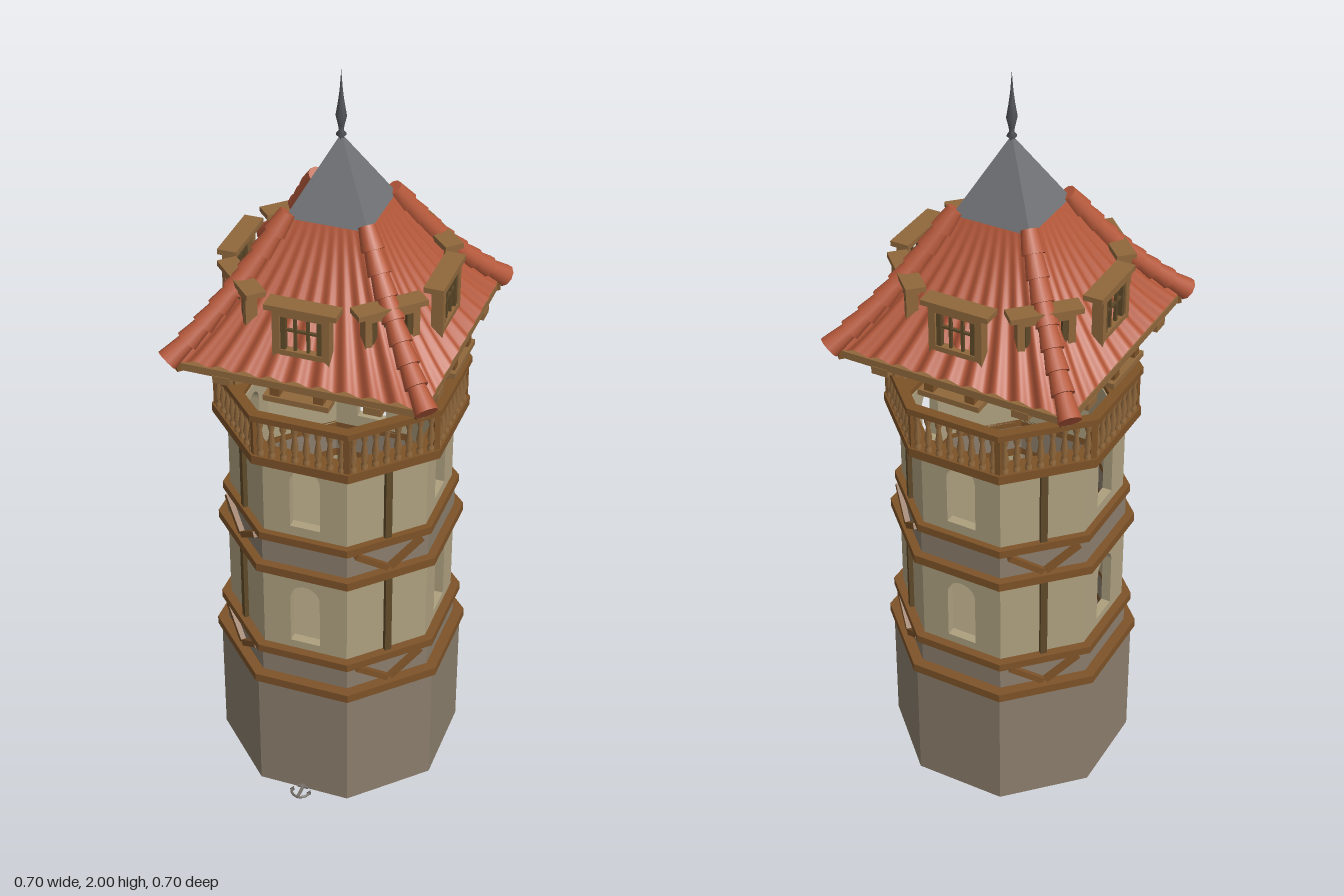
import * as THREE from 'three';
import { ParametricGeometry } from 'three/addons/geometries/ParametricGeometry.js';

const paint = (name, color, side = THREE.FrontSide) => {
  const m = new THREE.MeshStandardMaterial({ color, side });
  m.name = name;
  return m;
};

export function createModel() {
  const model = new THREE.Group();
  model.name = 'tower';
  const tower = new THREE.Group();
  tower.name = 'towerBody';
  tower.position.z = -0.012;
  model.add(tower);

  const stone = paint('stone', 0x8a7d6b);
  const plaster = paint('plaster', 0xada07f);
  const wood = paint('beamWood', 0x7d5228);
  const paleWood = paint('paleWood', 0x90683c);
  const darkWood = paint('darkWood', 0x5f4a2a);
  const tile = paint('roofTile', 0xb5583a, THREE.DoubleSide);
  const lead = paint('lead', 0x707276);
  const iron = paint('iron', 0x505359);
  const anchorMetal = paint('anchorMetal', 0x77716a);

  const V2 = (x, y) => new THREE.Vector2(x, y);
  const COS = Math.cos(Math.PI / 8), TAN = Math.tan(Math.PI / 8);

  const add = (parent, name, geo, mat, x = 0, y = 0, z = 0) => {
    const m = new THREE.Mesh(geo, mat);
    m.name = name;
    m.position.set(x, y, z);
    parent.add(m);
    return m;
  };
  const box = (parent, name, w, h, d, mat, x, y, z) =>
    add(parent, name, new THREE.BoxGeometry(w, h, d), mat, x, y, z);
  const flat = (geo) => {
    const g = geo.toNonIndexed();
    g.computeVertexNormals();
    return g;
  };
  // Group turned to face k of the octagon, with +z pointing outwards
  const face = (name, k) => {
    const g = new THREE.Group();
    g.name = name;
    g.rotation.y = k * Math.PI / 4;
    tower.add(g);
    return g;
  };
  // Eight-sided solid from [apothem, y] pairs
  const octagon = (name, pts, mat) => add(tower, name, flat(new THREE.LatheGeometry(
    pts.map(([a, y]) => V2(a / COS, y)), 8, Math.PI / 8)), mat);
  const ring = (name, inner, outer, y0, y1, mat) => octagon(name,
    [[inner, y0], [outer, y0], [outer, y1], [inner, y1], [inner, y0]], mat);

  // Stone base with a plastered inside
  octagon('base', [[0.275, 0], [0.3, 0], [0.3, 0.37]], stone);
  octagon('baseLining', [[0.255, 0.38], [0.275, 0]], plaster);

  // Two storeys: braced band between two beams, then a wall with arched windows
  const wallPanel = (a, h, sill, top) => {
    const w = a * TAN, r = 0.04;
    const s = new THREE.Shape([V2(-w, 0), V2(w, 0), V2(w, h), V2(-w, h)]);
    if (top) {
      const hole = new THREE.Path();
      hole.moveTo(-r, sill);
      hole.lineTo(-r, top - r);
      hole.absarc(0, top - r, r, Math.PI, 0, true);
      hole.lineTo(r, sill);
      hole.closePath();
      s.holes.push(hole);
    }
    const g = new THREE.ExtrudeGeometry(s, { depth: 0.025, bevelEnabled: false, curveSegments: 10 });
    return g.translate(0, 0, a - 0.025);
  };
  const storeys = [
    { y: 0.36, a: 0.274, beam: 0.31, end: 0.73, sill: 0.5, top: 0.685 },
    { y: 0.725, a: 0.267, beam: 0.297, end: 1.075, sill: 0.87, top: 1.05 },
  ];
  for (const { y, a, beam, end, sill, top } of storeys) {
    const bandTop = y + 0.095, wallY = y + 0.11;
    ring('lowerBeam', a - 0.025, beam, y, y + 0.024, wood);
    ring('bandWall', a - 0.025, a + 0.008, y + 0.02, bandTop, stone);
    ring('upperBeam', a - 0.025, beam - 0.013, bandTop, bandTop + 0.022, wood);
    const blank = wallPanel(a, end - wallY);
    const pierced = wallPanel(a, end - wallY, sill - wallY, top - wallY);
    for (let k = 0; k < 8; k++) {
      const side = face('wallSide', k);
      add(side, 'wall', k % 2 ? blank : pierced, plaster, 0, wallY, 0);
      if (k % 2 === 0) continue;
      box(side, 'wallPost', 0.018, end - wallY, 0.016, darkWood, 0, (wallY + end) / 2, a + 0.004);
      // V-shaped braces
      for (const s of [-1, 1]) {
        box(side, 'brace', 0.108, 0.016, 0.018, wood, s * 0.048, y + 0.06, a + 0.013)
          .rotation.z = s * 0.62;
      }
    }
  }

  // Balcony: ledge, turned balusters and handrail
  ring('balconyLedge', 0.245, 0.302, 1.065, 1.09, wood);
  ring('handrail', 0.277, 0.304, 1.193, 1.21, wood);
  const baluster = new THREE.LatheGeometry([[0.009, 0], [0.009, 0.012], [0.005, 0.018], [0.01, 0.04],
    [0.005, 0.075], [0.009, 0.09], [0.009, 0.105]].map(([r, y]) => V2(r, y)), 8);
  for (let k = 0; k < 8; k++) {
    const side = face('balustrade', k);
    for (let i = 0; i < 8; i++) add(side, 'baluster', baluster, paleWood, (i - 3.5) * 0.03, 1.089, 0.29);
    box(side, 'cornerPost', 0.016, 0.105, 0.016, wood, 0.119, 1.14, 0.288);
  }

  // Timber frame below the eaves
  ring('eavesRing', 0.25, 0.285, 1.288, 1.315, wood);
  for (let k = 0; k < 8; k++) {
    const side = face('eavesSupport', k);
    box(side, 'lintel', 0.165, 0.015, 0.045, paleWood, 0, 1.283, 0.298);
    for (const s of [-1, 1]) box(side, 'bracket', 0.025, 0.022, 0.1, wood, s * 0.055, 1.3, 0.265);
    if (k % 2) {
      box(side, 'hipRafter', 0.03, 0.022, 0.18, wood, 0, 1.318, 0.35);
      continue;
    }
    box(side, 'fascia', 0.63, 0.02, 0.03, paleWood, 0, 1.32, 0.3);
    for (const s of [-1, 1]) box(side, 'rafterEnd', 0.045, 0.02, 0.15, paleWood, s * 0.19, 1.303, 0.242);
  }

  // Four flared roof slopes with rippling tiles
  const slope = new THREE.QuadraticBezierCurve(V2(0.318, 1.34), V2(0.195, 1.465), V2(0.098, 1.66));
  const roofSide = new ParametricGeometry((u, v, target) => {
    const p = slope.getPoint(v), t = u * 2 - 1;
    const ripple = Math.cos(t * 10 * Math.PI) * 0.008 * (1 - v);
    target.set(t * p.x, p.y + ripple, p.x + ripple * 0.6);
  }, 80, 10);
  for (let k = 0; k < 8; k += 2) add(face('roofSlope', k), 'roofTiles', roofSide, tile);

  // Overlapping ridge tiles along the hips
  const tiles = 8, up = new THREE.Vector3(0, 1, 0);
  for (let k = 0; k < 8; k += 2) {
    const hip = face('hip', k);
    for (let i = 0; i < tiles; i++) {
      const at = (t) => {
        const p = slope.getPoint(t);
        return new THREE.Vector3(p.x, p.y + 0.004, p.x);
      };
      const a = at(i / tiles), b = at(Math.min(1, (i + 1.15) / tiles));
      const dir = b.clone().sub(a);
      if (i === 0) a.addScaledVector(dir, -0.2);
      const m = add(hip, 'ridgeTile', new THREE.CylinderGeometry(0.021, 0.029, a.distanceTo(b), 10), tile);
      m.position.copy(a).add(b).multiplyScalar(0.5);
      m.quaternion.setFromUnitVectors(up, dir.normalize());
    }
  }

  // Eight flat-topped dormers
  for (let k = 0; k < 8; k++) {
    const d = face('dormer', k);
    box(d, 'dormerTop', 0.18, 0.014, 0.05, paleWood, 0, 1.514, 0.262);
    box(d, 'dormerSill', 0.13, 0.014, 0.02, paleWood, 0, 1.395, 0.272);
    box(d, 'dormerHead', 0.13, 0.014, 0.02, paleWood, 0, 1.5, 0.272);
    box(d, 'windowRail', 0.12, 0.006, 0.008, darkWood, 0, 1.455, 0.272);
    for (const s of [-1, 1]) {
      box(d, 'dormerPost', 0.018, 0.14, 0.03, paleWood, s * 0.062, 1.44, 0.267);
      box(d, 'windowStile', 0.012, 0.11, 0.014, darkWood, s * 0.045, 1.445, 0.272);
      box(d, 'windowBar', 0.007, 0.105, 0.008, darkWood, s * 0.016, 1.447, 0.272);
    }
  }

  // Lead cap and iron finial
  const cap = new THREE.CylinderGeometry(0.003, 0.104 * Math.SQRT2, 0.185, 4, 1);
  add(tower, 'leadCap', flat(cap.rotateY(Math.PI / 4)), lead, 0, 1.7425, 0);
  add(tower, 'finial', new THREE.LatheGeometry([[0, 1.81], [0.01, 1.815], [0.006, 1.83], [0.013, 1.837],
    [0.006, 1.846], [0.008, 1.86], [0.014, 1.885], [0.008, 1.92], [0.004, 1.95], [0, 2]]
    .map(([r, y]) => V2(r, y)), 8), iron);

  // Small anchor lying at the foot of the front face
  const anchor = new THREE.Group();
  anchor.name = 'anchor';
  anchor.position.set(0, 0.011, 0.312);
  model.add(anchor);
  const arms = new THREE.TorusGeometry(0.025, 0.0035, 6, 16, Math.PI);
  add(anchor, 'anchorArms', arms.rotateX(Math.PI / 2), anchorMetal);
  box(anchor, 'anchorShank', 0.007, 0.007, 0.055, anchorMetal, 0, 0, 0);
  box(anchor, 'anchorStock', 0.03, 0.006, 0.005, anchorMetal, 0, 0, -0.016);
  for (const s of [-1, 1]) {
    const fluke = new THREE.ConeGeometry(0.007, 0.014, 4).rotateX(-Math.PI / 2);
    add(anchor, 'anchorFluke', fluke, anchorMetal, s * 0.024, 0, -0.003);
  }
  return model;
}
